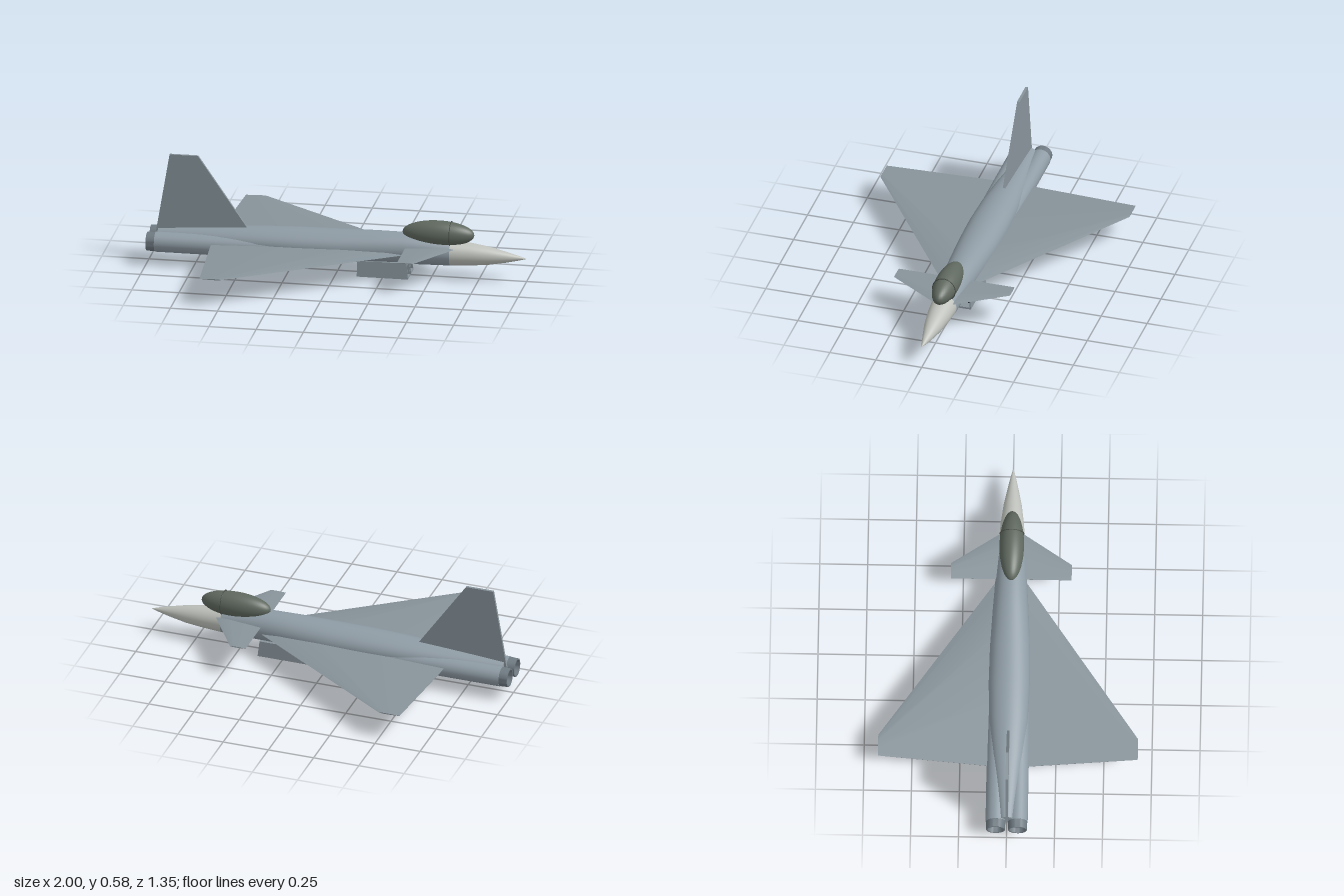
import * as THREE from 'three';
import { toCreasedNormals } from 'three/addons/utils/BufferGeometryUtils.js';

const mat = (color, extra = {}) => new THREE.MeshStandardMaterial({ color, ...extra });
const skin = mat(0x8f9ca5);
const panel = mat(0x87939a);
const radome = mat(0xbfc2bc);
const glass = mat(0x5f685f);
const frame = mat(0x4a5049);
const metal = mat(0x6f7a82);
const dark = mat(0x2b2e32, { side: THREE.DoubleSide });

// Skins a list of equal closed rings of points and caps both ends.
function loft(rings) {
  const n = rings[0].length, pos = [], idx = [];
  rings.forEach(r => r.forEach(p => pos.push(...p)));
  for (let i = 0; i < rings.length - 1; i++) {
    for (let j = 0; j < n; j++) {
      const a = i * n + j, b = i * n + (j + 1) % n;
      idx.push(a, b, a + n, b, b + n, a + n);
    }
  }
  [rings[0], rings[rings.length - 1]].forEach((ring, end) => {
    const c = pos.length / 3;
    pos.push(...[0, 1, 2].map(k => ring.reduce((s, p) => s + p[k], 0) / n));
    ring.forEach(p => pos.push(...p));
    for (let j = 0; j < n; j++) {
      const a = c + 1 + j, b = c + 1 + (j + 1) % n;
      end ? idx.push(c, a, b) : idx.push(c, b, a);
    }
  });
  const g = new THREE.BufferGeometry();
  g.setAttribute('position', new THREE.Float32BufferAttribute(pos, 3));
  g.setIndex(idx);
  g.computeVertexNormals();
  return g;
}

// Elliptical section: x, centre height, half height, half width
function ellipse([x, cy, ry, rz], n = 40) {
  return Array.from({ length: n }, (_, j) => {
    const a = j / n * Math.PI * 2;
    return [x, cy + ry * Math.cos(a), rz * Math.sin(a)];
  });
}

// Thin aerofoil section lying at span z
const FOIL = [[0, 0], [0.08, 0.6], [0.3, 1], [0.65, 0.7], [1, 0.08]];
function foil({ z, y, lead, trail, thick }) {
  const at = (t, h) => [lead + (trail - lead) * t, y + h * thick / 2, z];
  return [
    ...FOIL.map(([t, h]) => at(t, h)),
    ...FOIL.slice(1).reverse().map(([t, h]) => at(t, -h)),
  ];
}

function polygon(points) {
  return new THREE.Shape(points.map(p => new THREE.Vector2(...p)));
}

export function createModel() {
  const model = new THREE.Group();
  model.name = 'jetAircraft';
  const add = (name, geometry, material, parent = model) => {
    const m = new THREE.Mesh(geometry, material);
    m.name = name;
    parent.add(m);
    return m;
  };

  // Fuselage, narrowing to a tail between the engines
  add('fuselage', loft([
    [-0.95, 0.134, 0.042, 0.04],
    [-0.8, 0.137, 0.051, 0.058],
    [-0.6, 0.139, 0.063, 0.083],
    [-0.4, 0.14, 0.074, 0.101],
    [-0.2, 0.14, 0.081, 0.108],
    [0, 0.14, 0.084, 0.105],
    [0.2, 0.144, 0.085, 0.094],
    [0.35, 0.146, 0.083, 0.084],
    [0.48, 0.142, 0.077, 0.076],
    [0.6, 0.135, 0.068, 0.068],
  ].map(s => ellipse(s))), skin);

  // Nose cone
  add('noseCone', loft([
    [0.6, 0.135, 0.068, 0.068],
    [0.7, 0.133, 0.06, 0.06],
    [0.8, 0.13, 0.048, 0.047],
    [0.9, 0.127, 0.027, 0.026],
    [0.96, 0.126, 0.012, 0.012],
    [1, 0.125, 0.0005, 0.0005],
  ].map(s => ellipse(s))), radome);

  // Canopy bubble and its hoop
  const canopy = add('canopy', new THREE.SphereGeometry(1, 40, 24), glass);
  canopy.scale.set(0.19, 0.068, 0.064);
  canopy.position.set(0.533, 0.237, 0);
  const hoop = add('canopyHoop', new THREE.TorusGeometry(0.062, 0.0025, 8, 48), frame);
  hoop.rotation.y = Math.PI / 2;
  hoop.scale.y = 1.06;
  hoop.position.set(0.6, 0.237, 0);

  // Tail fin
  const finGeo = new THREE.ExtrudeGeometry(
    polygon([[-0.965, 0.14], [-0.475, 0.14], [-0.475, 0.2], [-0.74, 0.585], [-0.89, 0.585]]),
    { depth: 0.014, bevelEnabled: false });
  finGeo.translate(0, 0, -0.007);
  add('tailFin', finGeo, panel);

  // Parts shared by both sides, modelled on +z and mirrored
  const wingGeo = toCreasedNormals(loft([
    { z: 0.04, y: 0.132, lead: 0.425, trail: -0.658, thick: 0.036 },
    { z: 0.677, y: 0.146, lead: -0.495, trail: -0.61, thick: 0.006 },
  ].map(foil)), 0.5);
  const canardGeo = toCreasedNormals(loft([
    { z: 0.03, y: 0.17, lead: 0.642, trail: 0.37, thick: 0.012 },
    { z: 0.315, y: 0.17, lead: 0.455, trail: 0.37, thick: 0.005 },
  ].map(foil)), 0.5);

  const engineGeo = new THREE.CylinderGeometry(0.053, 0.053, 0.89, 32);
  engineGeo.rotateZ(Math.PI / 2);
  engineGeo.translate(-0.51, 0.118, 0.057);

  // Hollow nozzle, with its open end to the rear
  const nozzleGeo = toCreasedNormals(new THREE.LatheGeometry(
    [[0.051, 0], [0.049, 0.05], [0.042, 0.05], [0.038, 0.002]]
      .map(p => new THREE.Vector2(...p)), 32), 0.6);
  nozzleGeo.rotateZ(Math.PI / 2);
  nozzleGeo.translate(-0.95, 0.118, 0.057);
  const nozzleMat = mat(0x6f7a82, { side: THREE.DoubleSide });
  const burnerGeo = new THREE.CircleGeometry(0.045, 32);
  burnerGeo.rotateY(-Math.PI / 2);
  burnerGeo.translate(-0.957, 0.118, 0.057);

  // Square intake duct: extruded frame, its mouth raked forward at the bottom
  const mouth = polygon([[-0.082, 0], [-0.01, 0], [-0.01, 0.085], [-0.075, 0.085]]);
  mouth.holes.push(new THREE.Path(
    [[-0.075, 0.009], [-0.07, 0.07], [-0.016, 0.07], [-0.016, 0.009]]
      .map(p => new THREE.Vector2(...p))));
  const intakeGeo = new THREE.ExtrudeGeometry(mouth, { depth: 0.265, bevelEnabled: false });
  intakeGeo.rotateY(Math.PI / 2);
  intakeGeo.translate(0.115, 0, 0);
  const ip = intakeGeo.attributes.position;
  for (let i = 0; i < ip.count; i++) {
    if (ip.getX(i) > 0.3) ip.setX(i, 0.386 - 0.1 * ip.getY(i));
  }
  intakeGeo.computeVertexNormals();
  const plug = (x) => {
    const g = new THREE.PlaneGeometry(0.064, 0.068);
    g.rotateY(Math.PI / 2);
    g.translate(x, 0.04, 0.045);
    return g;
  };

  for (const side of [1, -1]) {
    const half = new THREE.Group();
    half.name = side > 0 ? 'rightHandParts' : 'leftHandParts';
    half.scale.z = side;
    model.add(half);
    add('wing', wingGeo, panel, half);
    add('canard', canardGeo, panel, half);
    add('engineNacelle', engineGeo, skin, half);
    add('exhaustNozzle', nozzleGeo, nozzleMat, half);
    add('exhaustInterior', burnerGeo, dark, half);
    add('airIntake', intakeGeo, panel, half);
    add('intakeInterior', plug(0.34), dark, half);
    add('intakeRearPlate', plug(0.1155), metal, half).geometry.scale(1, 1, 1);
    const rear = add('intakeRearWall', new THREE.BoxGeometry(0.004, 0.068, 0.062), panel, half);
    rear.position.set(0.117, 0.04, 0.045);
  }
  return model;
}
